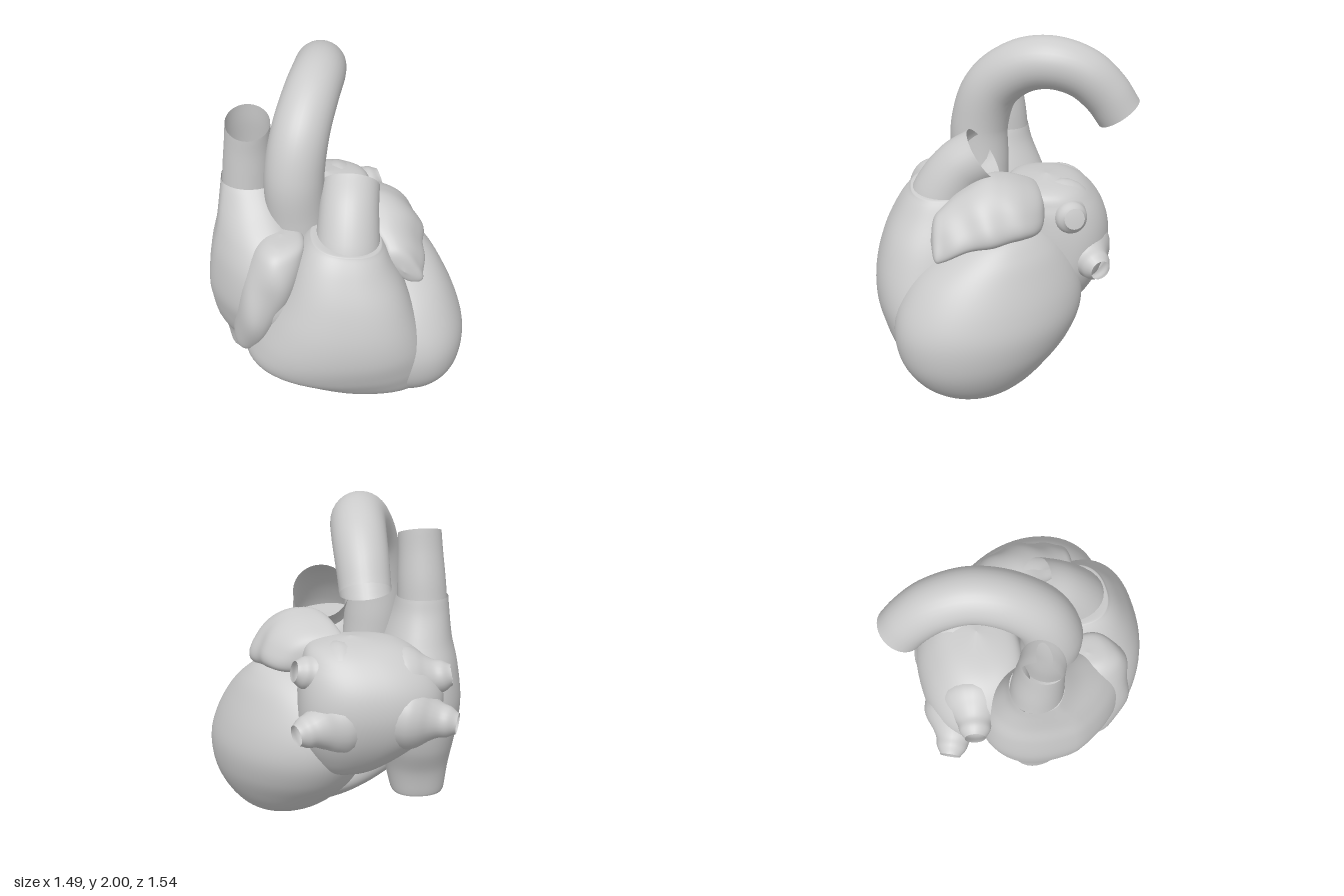
import * as THREE from 'three';

const solid = new THREE.MeshStandardMaterial({ color: 0xcccccc });
const open = new THREE.MeshStandardMaterial({ color: 0xcccccc, side: THREE.DoubleSide });

// Smooth skin through sections [height, x0, x1, z0, z1]; n > 2 squares the ovals
function loft(sections, { n = 2, shape = null, rows = 64, cols = 64 } = {}) {
  const spline = (f) => new THREE.CatmullRomCurve3(sections.map(f), false, 'catmullrom', 0.5);
  const centre = spline(([y, x0, x1, z0, z1]) => new THREE.Vector3((x0 + x1) / 2, y, (z0 + z1) / 2));
  const radius = spline(([, x0, x1, z0, z1]) => new THREE.Vector3((x1 - x0) / 2, 0, (z1 - z0) / 2));
  const power = (v) => Math.sign(v) * Math.abs(v) ** (2 / n);
  const pos = [], index = [];
  for (let i = 0; i <= rows; i++) {
    const c = centre.getPoint(i / rows), r = radius.getPoint(i / rows);
    for (let j = 0; j < cols; j++) {
      const a = (j / cols) * Math.PI * 2;
      const p = new THREE.Vector3(
        c.x + Math.max(r.x, 0.0005) * power(Math.cos(a)), c.y,
        c.z + Math.max(r.z, 0.0005) * power(Math.sin(a)));
      if (shape) shape(p, c);
      pos.push(p.x, p.y, p.z);
      if (i < rows) {
        const k = i * cols, m = (j + 1) % cols;
        index.push(k + j, k + cols + j, k + m, k + m, k + cols + j, k + cols + m);
      }
    }
  }
  const g = new THREE.BufferGeometry();
  g.setAttribute('position', new THREE.Float32BufferAttribute(pos, 3));
  g.setIndex(index);
  g.computeVertexNormals();
  return g;
}

// Tube along points whose radius follows a list of values
function vessel(points, radii, sides = 32, steps = 60) {
  const path = new THREE.CatmullRomCurve3(points.map((p) => new THREE.Vector3(...p)));
  const size = new THREE.SplineCurve(radii.map((r, i) => new THREE.Vector2(i, r)));
  const g = new THREE.TubeGeometry(path, steps, 0.1, sides);
  const { position: p, normal: nrm } = g.attributes;
  for (let i = 0; i < p.count; i++) {
    const d = size.getPoint(Math.floor(i / (sides + 1)) / steps).y - 0.1;
    p.setXYZ(i, p.getX(i) + nrm.getX(i) * d, p.getY(i) + nrm.getY(i) * d, p.getZ(i) + nrm.getZ(i) * d);
  }
  g.computeVertexNormals();
  // average the normals across the tube's seam
  const q = g.attributes.normal;
  for (let r = 0; r <= steps; r++) {
    const a = r * (sides + 1), b = a + sides;
    const v = new THREE.Vector3().fromBufferAttribute(q, a)
      .add(new THREE.Vector3().fromBufferAttribute(q, b)).normalize();
    q.setXYZ(a, v.x, v.y, v.z);
    q.setXYZ(b, v.x, v.y, v.z);
  }
  return g;
}

export function createModel() {
  const heart = new THREE.Group();
  heart.name = 'heart';
  const add = (name, geometry, material = solid) => {
    const mesh = new THREE.Mesh(geometry, material);
    mesh.name = name;
    heart.add(mesh);
  };

  // Lower chambers
  add('leftVentricle', loft([
    [0, 0.4, 0.4, 0.16, 0.16],
    [0.02, 0.24, 0.53, 0, 0.35],
    [0.09, 0.09, 0.62, -0.14, 0.5],
    [0.2, -0.03, 0.69, -0.26, 0.6],
    [0.32, -0.1, 0.725, -0.36, 0.65],
    [0.46, -0.14, 0.73, -0.425, 0.66],
    [0.6, -0.15, 0.695, -0.43, 0.62],
    [0.75, -0.12, 0.63, -0.375, 0.52],
    [0.88, -0.02, 0.55, -0.27, 0.35],
    [0.97, 0.1, 0.45, -0.13, 0.18],
    [1, 0.28, 0.28, 0.03, 0.03],
  ], { shape: (p, c) => { p.x += 0.22 * (p.z - c.z); } }));

  add('rightVentricle', loft([
    [0.02, 0.36, 0.36, 0.25, 0.25],
    [0.035, 0.13, 0.5, 0.08, 0.4],
    [0.08, -0.06, 0.52, 0, 0.51],
    [0.165, -0.23, 0.53, -0.07, 0.61],
    [0.27, -0.42, 0.53, -0.07, 0.68],
    [0.37, -0.545, 0.52, -0.04, 0.73],
    [0.52, -0.51, 0.48, 0, 0.77],
    [0.7, -0.42, 0.425, 0.05, 0.765],
    [0.9, -0.31, 0.36, 0.1, 0.71],
    [1.06, -0.23, 0.295, 0.13, 0.63],
    [1.15, -0.17, 0.25, 0.17, 0.565],
    [1.17, -0.13, 0.21, 0.2, 0.53],
    [1.17, 0.03, 0.03, 0.35, 0.35],
  ], {
    n: 2.4,
    shape: (p, c) => {
      p.x += 0.14 * (p.z - c.z) * (1 - THREE.MathUtils.smoothstep(p.y, 0.5, 1.1));
      p.y -= 0.13 * p.x * THREE.MathUtils.smoothstep(p.y, 0.8, 1.15);
    },
  }));

  // Right upper chamber, ending below in the lower great vein
  add('rightAtrium', loft([
    [0.13, -0.635, -0.325, -0.165, 0.14],
    [0.16, -0.645, -0.315, -0.175, 0.15],
    [0.3, -0.665, -0.28, -0.21, 0.22],
    [0.45, -0.7, -0.22, -0.28, 0.41],
    [0.6, -0.73, -0.17, -0.32, 0.5],
    [0.75, -0.74, -0.16, -0.34, 0.55],
    [0.95, -0.715, -0.2, -0.31, 0.52],
    [1.1, -0.68, -0.25, -0.25, 0.42],
    [1.25, -0.655, -0.31, -0.19, 0.24],
    [1.35, -0.64, -0.34, -0.165, 0.14],
  ], { n: 2.25, shape: (p, c) => { p.x += 0.3 * Math.max(0, p.z - c.z - 0.08); } }), open);

  add('rightAuricle', loft([
    [0.36, -0.53, -0.53, 0.38, 0.38],
    [0.46, -0.61, -0.44, 0.2, 0.47],
    [0.7, -0.59, -0.32, 0.2, 0.56],
    [0.95, -0.54, -0.22, 0.2, 0.57],
    [1.1, -0.48, -0.19, 0.2, 0.53],
    [1.165, -0.41, -0.21, 0.24, 0.46],
    [1.18, -0.32, -0.32, 0.34, 0.34],
  ], { n: 2.2, shape: (p) => { p.z += 0.01 * Math.sin(p.x * 22 + p.y * 9); } }));

  // Upper great vein with a slanted rim
  add('superiorVenaCava', loft([
    [1.33, -0.635, -0.345, -0.165, 0.135],
    [1.45, -0.625, -0.345, -0.15, 0.135],
    [1.6, -0.61, -0.35, -0.12, 0.135],
    [1.715, -0.6, -0.35, -0.105, 0.14],
  ], { shape: (p, c) => { p.y -= 0.36 * (p.z - c.z) * THREE.MathUtils.smoothstep(p.y, 1.36, 1.715); } }), open);

  // Left upper chamber and its four flared veins
  add('leftAtrium', loft([
    [0.37, 0, 0, -0.3, -0.3],
    [0.42, -0.18, 0.16, -0.42, -0.1],
    [0.53, -0.36, 0.24, -0.52, 0],
    [0.66, -0.5, 0.28, -0.59, 0.02],
    [0.8, -0.545, 0.285, -0.62, 0.02],
    [0.94, -0.53, 0.275, -0.6, 0.02],
    [1.06, -0.45, 0.25, -0.53, 0],
    [1.15, -0.3, 0.19, -0.42, -0.05],
    [1.19, -0.03, -0.03, -0.24, -0.24],
  ], { n: 2.4 }));

  const veins = [
    ['leftUpperVein', [0.02, 0.97, -0.31], [0.31, 1.035, -0.37]],
    ['leftLowerVein', [0.02, 0.76, -0.4], [0.32, 0.715, -0.525]],
    ['rightUpperVein', [-0.27, 0.93, -0.33], [-0.58, 0.98, -0.4]],
    ['rightLowerVein', [-0.27, 0.78, -0.42], [-0.58, 0.745, -0.56]],
  ];
  for (const [name, a, b] of veins) {
    const mid = a.map((v, i) => (v + b[i]) / 2);
    add(name, vessel([a, mid, b], [0.2, 0.2, 0.195, 0.17, 0.13, 0.1, 0.088, 0.06], 24, 35), open);
  }

  // Wrinkled flap over the left ventricle, lofted from back to front
  const flap = loft([
    [-0.22, 0.16, 0.16, -1.07, -1.07],
    [-0.18, 0.03, 0.33, -1.165, -0.97],
    [-0.08, 0.04, 0.42, -1.225, -0.95],
    [0.03, 0.08, 0.455, -1.26, -0.94],
    [0.13, 0.16, 0.47, -1.265, -0.93],
    [0.26, 0.22, 0.46, -1.2, -0.91],
    [0.37, 0.28, 0.45, -1.12, -0.86],
    [0.425, 0.31, 0.44, -1.06, -0.86],
    [0.445, 0.37, 0.37, -0.95, -0.95],
  ], {
    n: 2.5,
    shape: (p, c) => {
      p.x += 0.6 * (p.z - c.z) + 0.006 * Math.sin(p.y * 28 + p.z * 14);
    },
  });
  add('leftAuricle', flap.rotateX(Math.PI / 2));

  // Great arteries
  add('aorta', vessel([
    [-0.2, 0.95, 0.14], [-0.225, 1.2, 0.14], [-0.23, 1.45, 0.14], [-0.19, 1.67, 0.07],
    [-0.12, 1.81, -0.09], [-0.065, 1.845, -0.26], [-0.04, 1.79, -0.44], [-0.035, 1.675, -0.57],
    [-0.035, 1.55, -0.655],
  ], [0.165, 0.17, 0.168, 0.16, 0.153, 0.147, 0.138], 32, 80), open);

  add('pulmonaryTrunk', vessel([
    [0.04, 0.95, 0.41], [0.05, 1.12, 0.36], [0.065, 1.27, 0.26], [0.085, 1.355, 0.135],
  ], [0.19, 0.185, 0.175, 0.167, 0.165], 32, 40), open);

  return heart;
}
